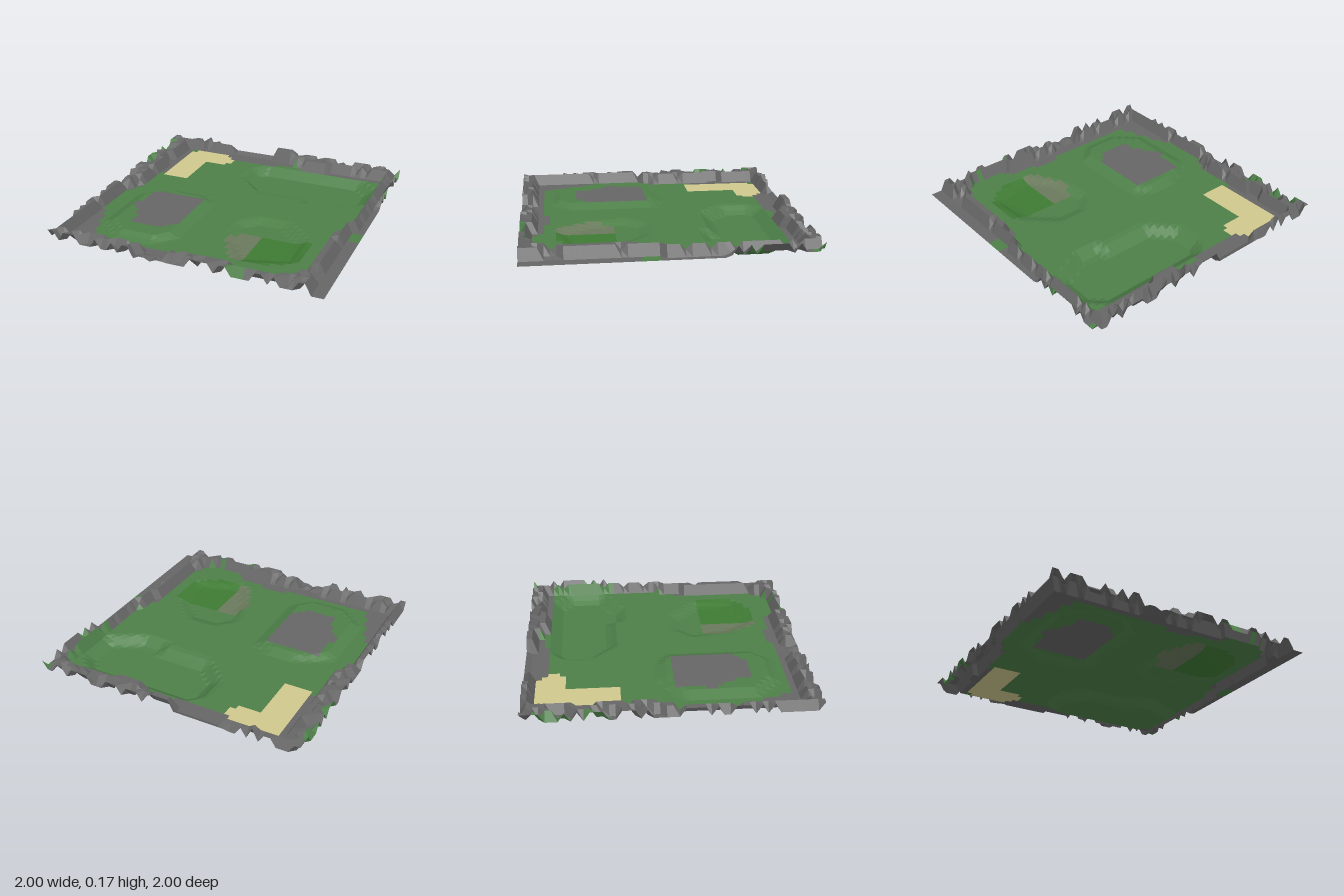
import * as THREE from 'three';

const N = 48, STEP = 2 / N, GROUND = 0.06, TOP = 0.14;

// outlines as x, z pairs
const pairs = (...a) => a.reduce((p, v, i) => (i % 2 ? p[p.length - 1].push(v) : p.push([v]), p), []);
const grass = pairs(-0.8, -0.9, -0.42, -0.85, 0, -0.85, 0.15, -0.9, 0.27, -0.83, 0.917, -0.83, 0.917, -0.35, 0.87, -0.3,
  0.87, 0, 0.83, 0.1, 0.79, 0.3, 0.79, 0.75, 0.75, 0.88, 0.62, 0.94, 0.42, 0.91, 0.33, 0.83, 0.2, 0.83, 0.16, 0.79,
  -0.04, 0.79, -0.05, 0.83, -0.75, 0.83, -0.8, 0.65, -0.92, 0.35, -0.92, 0.1, -0.83, -0.1, -0.83, -0.33, -0.8, -0.4);
const sand = pairs(-0.79, -0.87, -0.7, -0.92, -0.5, -0.92, -0.42, -0.88, -0.38, -0.83, -0.38, -0.75, -0.45, -0.71,
  -0.583, -0.71, -0.583, -0.33, -0.79, -0.33);
const stone = pairs(-0.66, 0.04, -0.25, 0.04, -0.25, 0.46, -0.37, 0.58, -0.58, 0.58, -0.62, 0.4, -0.71, 0.3, -0.66, 0.15);
const mud = pairs(0.17, 0.33, 0.334, 0.33, 0.334, 0.74, 0.26, 0.74, 0.12, 0.52);
const moss = pairs(0.334, 0.33, 0.71, 0.33, 0.71, 0.58, 0.62, 0.72, 0.334, 0.75);

// sunken and raised areas: flat outline, height change, width of the slope
const areas = [
  { shape: pairs(-0.09, -0.7, -0.04, -0.75, 0.71, -0.75, 0.8, -0.67, 0.8, -0.46, 0.7, -0.41, 0.58, -0.34, 0.46, -0.34,
    0.42, -0.41, 0.04, -0.41, -0.09, -0.55), rise: -0.06, width: 0.085 },
  { shape: pairs(-0.72, 0.12, -0.62, 0.04, -0.5, -0.01, -0.33, -0.01, -0.24, 0.04, -0.24, 0.62, -0.33, 0.71, -0.58, 0.71,
    -0.72, 0.58), rise: 0.035, width: 0.06 },
  { shape: pairs(0.16, 0.25, 0.25, 0.16, 0.42, 0.16, 0.6, 0.33, 0.63, 0.6, 0.33, 0.69, 0.2, 0.5), rise: -0.03, width: 0.07 },
];

// crest of the rocky rim, open at the back and the front
const ridge = pairs(-0.45, -0.96, -0.75, -0.96, -0.9, -0.97, -0.88, -0.72, -0.93, -0.58, -0.89, -0.45, -0.89, -0.1,
  -0.95, 0.04, -0.99, 0.15, -0.96, 0.28, -0.97, 0.9, -0.85, 0.92, -0.36, 0.92);
const ridgeB = pairs(-0.07, 0.92, 0.3, 0.92, 0.38, 0.96, 0.65, 0.97, 0.76, 0.92, 0.83, 0.8, 0.86, 0.6, 0.85, 0.3,
  0.88, 0.1, 0.92, -0.05, 0.92, -0.93, 0.7, -0.92, 0.5, -0.92, 0.35, -0.88, 0.26, -0.88, 0.15, -0.96, -0.05, -0.98);

function hash(i, j) {
  let h = Math.imul(i + 17, 374761393) ^ Math.imul(j + 31, 668265263);
  h = Math.imul(h ^ (h >>> 13), 1274126177);
  return ((h ^ (h >>> 16)) >>> 0) / 4294967296;
}

function inside(poly, x, z) {
  let hit = false;
  poly.forEach(([ax, az], i) => {
    const [bx, bz] = poly[(i + 1) % poly.length];
    if ((az > z) !== (bz > z) && x < ax + (bx - ax) * (z - az) / (bz - az)) hit = !hit;
  });
  return hit;
}

function distance(line, x, z, closed) {
  let best = Infinity;
  for (let i = 0; i < line.length - (closed ? 0 : 1); i++) {
    const [ax, az] = line[i], [bx, bz] = line[(i + 1) % line.length];
    const dx = bx - ax, dz = bz - az;
    const t = THREE.MathUtils.clamp(((x - ax) * dx + (z - az) * dz) / (dx * dx + dz * dz), 0, 1);
    best = Math.min(best, Math.hypot(x - ax - dx * t, z - az - dz * t));
  }
  return best;
}

const at = (i) => -1 + i * STEP;
const rimLoop = [...ridge, ...ridgeB];

function heightAt(i, j) {
  const x = at(i), z = at(j);
  for (const { shape, rise, width } of areas) {
    const d = inside(shape, x, z) ? 0 : distance(shape, x, z, true);
    if (d < width) return GROUND + rise * (1 - d / width);
  }
  // two taller crags on the back edge
  if (j < 2 && (Math.abs(x - 0.02) < 0.07 || Math.abs(x + 0.67) < 0.03)) return 0.165;
  const d = Math.min(distance(ridge, x, z), distance(ridgeB, x, z));
  if (d < 0.03) return hash(i, j) < 0.88 ? TOP : 0.1;
  if (inside(rimLoop, x, z)) return GROUND;
  // gaps and the low ledge outside the rim
  if (x > -0.46 && x < 0.12 && z < -0.9) return 0.083;
  if (x > -0.34 && x < -0.1 && z > 0.85) return hash(i, j) < 0.5 ? GROUND : 0.08;
  if (x > 0.9 && z > -0.35) return GROUND;
  if (x > 0.94 && i < N) return GROUND + 0.02;
  return hash(i, j) < 0.5 ? TOP : GROUND + 0.015;
}

const parts = {
  sandPatch: { color: 0xd0c98e, test: (x, z) => inside(sand, x, z) },
  stonePatch: { color: 0x666666, test: (x, z) => inside(stone, x, z) },
  mudPatch: { color: 0x6a7a5c, test: (x, z) => inside(mud, x, z) },
  mossPatch: { color: 0x3f7a34, test: (x, z) => inside(moss, x, z) },
  grass: { color: 0x4e8049, test: (x, z) => inside(grass, x, z) || grassyRim(x, z) },
  rockRim: { color: 0x666666, test: () => true },
};

// tufts of grass on the outer side of the rim
function grassyRim(x, z) {
  const tuft = hash(Math.floor(x * 12), Math.floor(z * 12));
  if (x < -0.96 && z < -0.35) return tuft < 0.7;
  if (x > 0.92 && z > 0 && z < 0.22) return tuft < 0.7;
  if (x > 0.95 && z < -0.4) return tuft < 0.4;
  return z > 0.95 && x > 0.32 && x < 0.46;
}

export function createModel() {
  const group = new THREE.Group();
  group.name = 'terrain';
  const names = Object.keys(parts);
  const corners = Object.fromEntries(names.map((n) => [n, []]));

  // two triangles per grid cell, sorted by ground cover
  for (let j = 0; j < N; j++) {
    for (let i = 0; i < N; i++) {
      const name = names.find((n) => parts[n].test(at(i + 0.5), at(j + 0.5)));
      const p = (a, b) => [at(i + a), heightAt(i + a, j + b), at(j + b)];
      corners[name].push(...p(0, 0), ...p(0, 1), ...p(1, 0), ...p(1, 0), ...p(0, 1), ...p(1, 1));
    }
  }

  for (const name of names) {
    const geometry = new THREE.BufferGeometry();
    geometry.setAttribute('position', new THREE.Float32BufferAttribute(corners[name], 3));
    geometry.computeVertexNormals();
    const mesh = new THREE.Mesh(geometry, new THREE.MeshStandardMaterial({
      color: parts[name].color, flatShading: true, side: THREE.DoubleSide,
    }));
    mesh.name = name;
    group.add(mesh);
  }
  return group;
}
